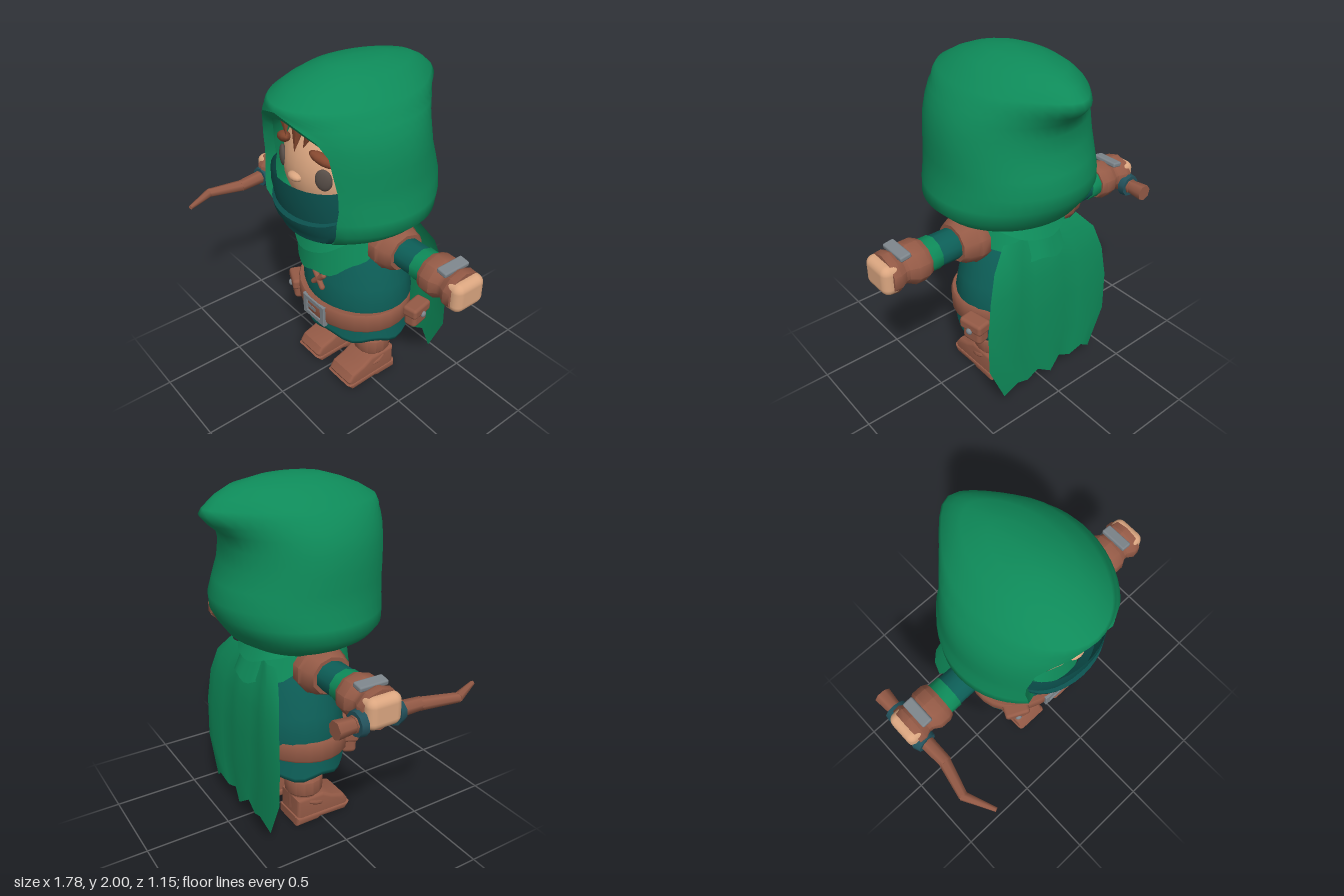
import * as THREE from 'three';
import { mergeVertices, toCreasedNormals } from 'three/addons/utils/BufferGeometryUtils.js';
import { RoundedBoxGeometry } from 'three/addons/geometries/RoundedBoxGeometry.js';

const paint = (name, color, side = THREE.FrontSide) => {
  const m = new THREE.MeshStandardMaterial({ color, side });
  m.name = name;
  return m;
};
const cloth = paint('cloak green', 0x0e8a59, THREE.DoubleSide);
const teal = paint('tunic teal', 0x0d5f58, THREE.DoubleSide);
const maskTeal = paint('mask teal', 0x0b504d, THREE.DoubleSide);
const leather = paint('leather', 0x945a46);
const skin = paint('skin', 0xdba680);
const dark = paint('dark brown grey', 0x584e48);
const metal = paint('metal', 0x7d858b);
const wrap = paint('grip wrap', 0x23525c);
const hairMat = paint('hair', 0x85482f);

const V = (x, y, z) => new THREE.Vector3(x, y, z);

export function createModel() {
  const model = new THREE.Group();
  const add = (name, geo, mat, pos = [0, 0, 0], rot = [0, 0, 0], scale = [1, 1, 1], parent = model) => {
    const m = new THREE.Mesh(geo, mat);
    m.name = name;
    m.position.set(...pos);
    m.rotation.set(...rot);
    m.scale.set(...scale);
    parent.add(m);
    return m;
  };

  // smooth sheet through rows of points
  const sheet = (rows) => {
    const n = rows[0].length, idx = [];
    for (let r = 0; r < rows.length - 1; r++)
      for (let c = 0; c < n - 1; c++) {
        const a = r * n + c, b = a + 1, d = a + n, e = d + 1;
        idx.push(a, b, d, b, e, d);
      }
    let g = new THREE.BufferGeometry();
    g.setAttribute('position', new THREE.Float32BufferAttribute(rows.flat(2), 3));
    g.setIndex(idx);
    g = mergeVertices(g, 1e-4);
    g.computeVertexNormals();
    return g;
  };
  // turned part with crisp edges; profile is [radius, height] from bottom to top
  const lathe = (profile, seg = 12) => toCreasedNormals(
    new THREE.LatheGeometry(profile.map(p => new THREE.Vector2(...p)), seg, Math.PI / seg), 0.7);
  // tapered rod between two points
  const rod = (name, a, b, ra, rb, mat, parent = model, sides = 7) => {
    const dir = b.clone().sub(a);
    const m = add(name, new THREE.CylinderGeometry(rb, ra, dir.length(), sides), mat, [0, 0, 0], [0, 0, 0], [1, 1, 1], parent);
    m.position.copy(a).addScaledVector(dir, 0.5);
    m.quaternion.setFromUnitVectors(V(0, 1, 0), dir.normalize());
  };
  // oval ring point: angle 0 is the front
  const oval = (t, w, zf, zb, c = -0.04) => {
    const k = Math.cos(t);
    return [w * Math.sin(t), c + (k > 0 ? (zf - c) : (c - zb)) * k];
  };

  // hood: [height, half width, front, back, half opening, peak at the back]
  const hoodRows = [
    [1.11, .33, .36, -.33, .21, 0], [1.16, .41, .41, -.41, .27, 0], [1.23, .48, .43, -.46, .31, 0],
    [1.3, .472, .44, -.5, .315, 0], [1.38, .452, .45, -.51, .32, 0], [1.47, .445, .45, -.48, .315, 0],
    [1.56, .442, .45, -.445, .3, 0], [1.66, .43, .45, -.43, .28, .01], [1.73, .405, .45, -.435, .23, .03],
    [1.78, .38, .445, -.455, .15, .07], [1.83, .345, .44, -.47, 0, .1], [1.86, .315, .43, -.47, 0, .08],
    [1.91, .26, .34, -.44, 0, .05], [1.95, .2, .24, -.39, 0, .02], [1.985, .11, .12, -.25, 0, 0],
    [2, 0, -.04, -.04, 0, 0]];
  const N = 40, right = [], left = [];
  const hood = hoodRows.map(([y, w, zf, zb, o, tip]) => {
    const t0 = w ? Math.asin(o / w) : 0, row = [];
    for (let i = 0; i <= N; i++) {
      const t = t0 + (2 * Math.PI - 2 * t0) * i / N, [x, z] = oval(t, w, zf, zb);
      row.push([x, y, z - tip * Math.max(0, -Math.cos(t)) ** 10]);
    }
    if (y <= 1.83) { right.push(row[0]); left.unshift(row[N]); }
    return row;
  });
  add('hood', sheet(hood), cloth);
  const rim = [...right, ...left.slice(1)];
  const rimIn = rim.map(([x, y, z]) => [x * .87, 1.3 + (y - 1.3) * .9, z - .04]);
  const rimBack = rimIn.map(([x, y, z]) => [x * 1.05, y + .01, z - .12]);
  add('hoodRim', toCreasedNormals(sheet([rim, rimIn, rimBack]), .6), cloth);

  // head and face
  add('head', new THREE.SphereGeometry(1, 28, 20), skin, [0, 1.45, -.04], [0, 0, 0], [.36, .35, .375]);
  add('nose', new THREE.SphereGeometry(1, 12, 8), skin, [0, 1.45, .335], [0, 0, 0], [.05, .025, .03]);
  for (const s of [-1, 1]) {
    add('eye', new THREE.SphereGeometry(1, 16, 12), dark, [s * .175, 1.485, .285], [0, s * .5, 0], [.048, .06, .02]);
    add('eyebrow', new THREE.SphereGeometry(1, 10, 8), hairMat, [s * .165, 1.595, .28], [-.3, s * .5, -s * .2], [.08, .03, .035]);
  }
  for (const [x, y, r, h, tilt] of [[.01, 1.69, .065, .2, 0], [-.09, 1.72, .06, .15, -.35], [.11, 1.72, .06, .17, .35]])
    add('fringeTuft', new THREE.ConeGeometry(r, h, 7), hairMat, [x, y, .32], [Math.PI - .2, 0, tilt], [1, 1, .6]);
  add('hairCap', new THREE.SphereGeometry(1, 20, 8, 0, Math.PI * 2, 0, .9), hairMat, [0, 1.45, -.04], [0, 0, 0], [.37, .36, .385]);

  // face mask with two sagging folds: [height, half width, front, sag]
  const maskRows = [[1.44, .285, .405, 0], [1.37, .295, .405, .01], [1.3, .295, .385, .05], [1.285, .295, .405, .05],
    [1.24, .29, .395, .05], [1.19, .285, .37, .03], [1.14, .26, .36, .02], [1.08, .2, .31, 0]];
  add('faceMask', toCreasedNormals(sheet(maskRows.map(([y, w, z, sag]) => {
    const row = [];
    for (let i = 0; i <= 16; i++) {
      const u = i / 8 - 1;
      row.push([w * Math.sin(u * 1.5), y - sag * (1 - u * u) + .01 * u * u, .13 + (z - .13) * Math.cos(u * 1.25)]);
    }
    return row;
  })), .5), maskTeal);

  // ragged shoulder scarf in two layers
  const scarf = (name, low, w, zf, zb, front, back, power, rag) => {
    const rows = [0, .5, 1].map(v => {
      const row = [];
      for (let i = 0; i <= 48; i++) {
        const t = i / 48 * 2 * Math.PI, k = Math.cos(t);
        const end = low - (k > 0 ? front : back) * Math.abs(k) ** power + rag * Math.sin(9 * t);
        const [x, z] = oval(t, .25 + (w - .25) * v, .25 + (zf - .25) * v, -.28 + (zb + .28) * v);
        row.push([x, 1.17 + (end - 1.17) * v, z]);
      }
      return row;
    });
    add(name, sheet(rows), cloth);
  };
  scarf('shoulderScarf', 1.1, .3, .28, -.39, .26, .18, .7, .014);
  scarf('scarfFold', 1.13, .3, .3, -.36, .15, .1, 2.5, .004);

  // cape with torn hem
  const hem = [.1, .17, .13, .17, .11, .16, .13, .17, .1];
  add('cape', sheet([[1.06, .26, -.31], [.95, .36, -.36], [.8, .41, -.39], [.6, .44, -.405], [.35, .44, -.41], [0, .335, -.41]]
    .map(([y, w, z]) => hem.map((h, i) => {
      const u = i / 4 - 1;
      return [u * w, y || h, z - .012 * Math.cos(u * 9)];
    }))), cloth);

  // tunic, skirt and belt
  const oz = [1, 1, .81];
  add('tunic', lathe([[0, .56], [.35, .56], [.362, .62], [.34, .74], [.3, .88], [.25, 1.02], [.18, 1.12], [0, 1.14]], 28), teal, [0, 0, -.08], [0, 0, 0], oz);
  const skirt = [[.2, .4], [.32, .37], [.355, .37], [.365, .4], [.345, .46], [.35, .57]];
  add('skirt', sheet(skirt.map(([r, y]) => {
    const row = [];
    for (let i = 0; i <= 36; i++) {
      const t = -i / 36 * 2 * Math.PI;
      row.push([r * Math.sin(t), y + (y < .42 ? .016 * Math.sin(7 * t) : 0), -.08 + .81 * r * Math.cos(t)]);
    }
    return row;
  })), teal);
  add('belt', lathe([[.33, .49], [.368, .485], [.378, .5], [.378, .595], [.368, .61], [.33, .605]], 28), leather, [0, -.005, -.08], [.04, 0, 0], oz);

  // buckle: square frame with a tongue
  const frame = new THREE.Shape([[-.095, -.065], [.095, -.065], [.095, .065], [-.095, .065]].map(p => new THREE.Vector2(...p)));
  frame.holes.push(new THREE.Path([[-.065, -.04], [-.065, .04], [.065, .04], [.065, -.04]].map(p => new THREE.Vector2(...p))));
  add('buckle', new THREE.ExtrudeGeometry(frame, { depth: .025, bevelSize: .004, bevelThickness: .004, bevelSegments: 1 }), metal, [0, .52, .222]);
  add('buckleTongue', new THREE.BoxGeometry(.09, .025, .02), metal, [-.03, .52, .238]);

  // belt pouches
  for (const [x, z, turn] of [[-.265, .155, -.45], [.385, -.21, 1.75]]) {
    const p = new THREE.Group();
    p.name = 'pouch';
    p.position.set(x, .515, z);
    p.rotation.y = turn;
    model.add(p);
    add('pouchBag', new RoundedBoxGeometry(.13, .13, .085, 2, .025), leather, [0, -.01, 0], [0, 0, 0], [1, 1, 1], p);
    add('pouchFlap', new RoundedBoxGeometry(.155, .07, .1, 2, .02), leather, [0, .035, .004], [0, 0, 0], [1, 1, 1], p);
    add('pouchButton', new THREE.SphereGeometry(.02, 10, 8), metal, [0, .01, .055], [0, 0, 0], [1, 1, .7], p);
  }
  // chest lacing
  for (const s of [-1, 1])
    add('chestLace', new THREE.CapsuleGeometry(.017, .11, 3, 8), leather, [0, .73, .205], [-.15, 0, s * .8]);

  // arms, the right one turned half round
  for (const s of [1, -1]) {
    const arm = new THREE.Group();
    arm.name = s > 0 ? 'leftArm' : 'rightArm';
    arm.position.set(0, 1.025, -.07);
    arm.rotation.y = s > 0 ? 0 : Math.PI;
    model.add(arm);
    const part = (name, profile, mat) => add(name, lathe(profile, 10), mat, [0, 0, 0], [0, 0, -Math.PI / 2], [1, 1, 1.1], arm);
    part('shoulderGuard', [[0, .22], [.135, .27], [.14, .33], [.13, .35], [.122, .39], [.105, .42], [0, .42]], leather);
    part('sleeve', [[.085, .38], [.085, .55]], teal);
    part('sleeveBand', [[0, .54], [.09, .54], [.09, .62], [0, .62]], cloth);
    part('bracer', [[0, .61], [.1, .61], [.113, .64], [.113, .7], [.09, .74], [.09, .76], [.112, .8], [.108, .84], [0, .845]], leather);
    add('bracerPlate', new RoundedBoxGeometry(.065, .03, .17, 2, .01), metal, [.75, .1, 0], [0, 0, -.15], [1, 1, 1], arm);
    add('fist', new RoundedBoxGeometry(.12, .17, .2, 3, .045), skin, [.83, 0, 0], [0, 0, 0], [1, 1, 1], arm);
  }

  // crooked branch held in the right hand
  const bow = new THREE.Group();
  bow.name = 'branchWeapon';
  model.add(bow);
  rod('handleEnd', V(-.82, .98, -.32), V(-.82, .98, -.21), .05, .04, leather, bow);
  rod('handle', V(-.82, .98, -.22), V(-.815, .98, .06), .045, .042, leather, bow);
  rod('rearWrap', V(-.82, .98, -.21), V(-.82, .98, -.17), .065, .07, wrap, bow, 10);
  rod('frontWrap', V(-.82, .98, .01), V(-.815, .98, .055), .07, .06, wrap, bow, 10);
  rod('limbBase', V(-.815, .98, .05), V(-.81, .97, .2), .042, .036, leather, bow);
  rod('limbMiddle', V(-.81, .97, .19), V(-.86, .97, .4), .036, .027, leather, bow);
  rod('limbTip', V(-.863, .97, .39), V(-.78, .97, .57), .027, .013, leather, bow);

  // legs and boots
  const side = (pts, width) => {
    const g = new THREE.ExtrudeGeometry(new THREE.Shape(pts.map(p => new THREE.Vector2(...p))),
      { depth: width - .04, bevelSize: .02, bevelThickness: .02, bevelSegments: 3 });
    g.translate(0, 0, -(width - .04) / 2);
    return toCreasedNormals(g.rotateY(-Math.PI / 2), .6);
  };
  for (const s of [-1, 1]) {
    const leg = new THREE.Group();
    leg.name = s > 0 ? 'leftLeg' : 'rightLeg';
    leg.position.set(s * .155, 0, 0);
    model.add(leg);
    const put = (name, geo, mat, pos, rot, scale) => add(name, geo, mat, pos, rot, scale, leg);
    put('trouserLeg', new THREE.CylinderGeometry(.1, .095, .22, 14), dark, [0, .36, -.075]);
    put('bootCuff', lathe([[0, .18], [.1, .18], [.112, .195], [.112, .275], [.1, .29], [0, .29]], 14), leather, [0, 0, -.075]);
    put('bootShaft', new THREE.CylinderGeometry(.092, .095, .12, 14), leather, [0, .14, -.08]);
    put('bootFoot', side([[-.15, .03], [.15, .03], [.16, .06], [.14, .09], [.06, .115], [0, .15], [-.15, .15]], .2), leather);
    put('bootSole', side([[-.16, .02], [-.04, .02], [-.02, .03], [.15, .022], [.165, .035], [-.16, .035]], .215), leather);
    put('bootStrap', new THREE.TorusGeometry(.1, .014, 6, 18), leather, [0, .125, -.05], [Math.PI / 2 + .35, 0, 0], [1, 1.05, 1]);
  }
  return model;
}
